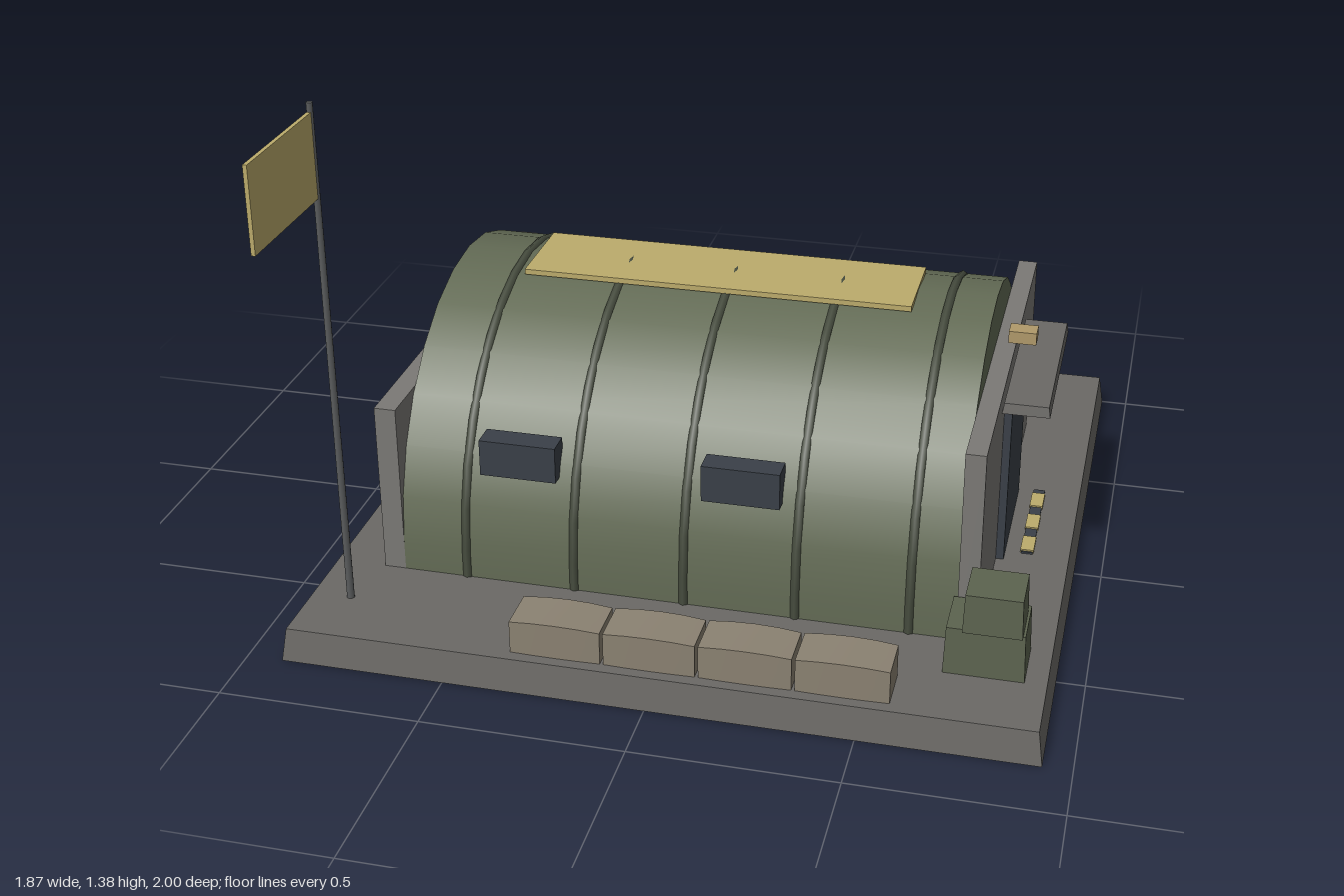
import * as THREE from 'three';
import { toCreasedNormals } from 'three/addons/utils/BufferGeometryUtils.js';

const paint = (color) => new THREE.MeshStandardMaterial({ color });
const MAT = {
  slab: paint(0x6b6966), wall: paint(0x7b7976), green: paint(0x636b55), rib: paint(0x474d3f),
  gold: paint(0xbcac6c), dark: paint(0x3a4048), pole: paint(0x5a5c5d), crate: paint(0x5c634f),
  bag: paint(0x8b8272), lamp: paint(0xb09a6a),
};
const GROUND = 0.085, MID_Z = -0.075, RADIUS = 0.575, SPRING = 0.16;

export function createModel() {
  const root = new THREE.Group();

  const add = (name, geometry, material, x = 0, y = 0, z = 0, parent = root) => {
    const mesh = new THREE.Mesh(geometry, material);
    mesh.name = name;
    mesh.position.set(x, y, z);
    parent.add(mesh);
    return mesh;
  };
  // Box given by its extents; inset narrows the top face
  const block = (name, mat, [x0, x1], [y0, y1], [z0, z1], inset = 0) => {
    const g = new THREE.BoxGeometry(x1 - x0, y1 - y0, z1 - z0);
    const p = g.attributes.position;
    for (let i = 0; inset && i < p.count; i++) {
      if (p.getY(i) < 0) continue;
      p.setX(i, p.getX(i) - Math.sign(p.getX(i)) * inset);
      p.setZ(i, p.getZ(i) - Math.sign(p.getZ(i)) * inset);
    }
    g.computeVertexNormals();
    return add(name, g, mat, (x0 + x1) / 2, (y0 + y1) / 2, (z0 + z1) / 2);
  };

  block('baseSlab', MAT.slab, [-0.91, 0.93], [0, GROUND], [-1, 0.84], 0.012);

  // Arched shelter: half circle on short upright sides
  const arch = (r, steps) => {
    const pts = [[r, GROUND]];
    for (let i = 0; i <= steps; i++) {
      const a = (i / steps) * Math.PI;
      pts.push([r * Math.cos(a), SPRING + r * Math.sin(a)]);
    }
    pts.push([-r, GROUND]);
    return pts.map(([x, y]) => new THREE.Vector2(x, y));
  };
  const vault = new THREE.ExtrudeGeometry(new THREE.Shape(arch(RADIUS, 14)), { depth: 1.4, bevelEnabled: false });
  vault.rotateY(Math.PI / 2);
  add('archedShelter', toCreasedNormals(vault, 0.5), MAT.green, -0.715, 0, MID_Z);

  // Ribs over the arch
  for (let i = 0; i < 5; i++) {
    const x = -0.55 + i * 0.28;
    const rib = new THREE.Group();
    rib.name = 'rib';
    rib.position.set(x, 0, MID_Z);
    root.add(rib);
    const hoop = new THREE.TorusGeometry(0.57, 0.0125, 6, 16, Math.PI);
    hoop.rotateY(Math.PI / 2);
    add('ribHoop', hoop, MAT.rib, 0, SPRING, 0, rib);
    for (const side of [-1, 1]) {
      add('ribFoot', new THREE.CylinderGeometry(0.0125, 0.0125, SPRING - GROUND, 6), MAT.rib,
        0, (SPRING + GROUND) / 2, side * 0.57, rib);
    }
  }
  block('roofPanel', MAT.gold, [-0.52, 0.485], [0.726, 0.74], [-0.2, 0.05]);

  // Windows, two on each long side
  for (const x of [-0.41, 0.15]) {
    for (const side of [-1, 1]) {
      const z = MID_Z + side * 0.53;
      block('window', MAT.dark, [x - 0.097, x + 0.097], [0.375, 0.47], [z - 0.032, z + 0.032]);
    }
  }

  // End walls, door, awning, lamp and threshold
  block('leftEndWall', MAT.wall, [-0.77, -0.715], [GROUND, 0.535], [-0.65, 0.5]);
  block('doorEndWall', MAT.wall, [0.685, 0.735], [GROUND, 0.59], [-0.645, 0.5]);
  block('door', MAT.dark, [0.73, 0.755], [GROUND, 0.507], [-0.255, 0.11]);
  block('awning', MAT.slab, [0.735, 0.852], [0.537, 0.564], [-0.325, 0.178], 0.004);
  block('lamp', MAT.lamp, [0.72, 0.79], [0.62, 0.652], [-0.1, -0.05]);
  block('threshold', MAT.dark, [0.795, 0.825], [GROUND, 0.09], [-0.26, 0.07]);
  for (const z of [0.03, -0.085, -0.2]) {
    block('thresholdStripe', MAT.gold, [0.793, 0.827], [GROUND, 0.094], [z - 0.035, z + 0.035]);
  }

  // Stacked crates
  block('lowerCrate', MAT.crate, [0.672, 0.865], [GROUND, 0.207], [0.5, 0.645], 0.004);
  block('upperCrate', MAT.crate, [0.715, 0.855], [0.207, 0.307], [0.523, 0.655], 0.003);

  // Sandbags: softened boxes with sagging ends
  const bagShape = new THREE.BoxGeometry(0.222, 0.09, 0.12, 4, 2, 2);
  const bp = bagShape.attributes.position;
  for (let i = 0; i < bp.count; i++) {
    const u = Math.abs(bp.getX(i)) / 0.111;
    if (bp.getY(i) > 0.04) bp.setY(i, 0.045 - 0.006 * u * u);
    bp.setZ(i, bp.getZ(i) * (1 - 0.04 * u * u));
  }
  const bagGeometry = toCreasedNormals(bagShape, 0.5);
  const bagY = GROUND + 0.045;
  for (let i = 0; i < 4; i++) add('frontSandbag', bagGeometry, MAT.bag, -0.228 + i * 0.23, bagY, 0.74);
  for (let i = 0; i < 4; i++) {
    const t = i / 3;
    const bag = add('cornerSandbag', bagGeometry, MAT.bag,
      THREE.MathUtils.lerp(-0.83, -0.78, t), bagY - 0.001 * i, THREE.MathUtils.lerp(-0.893, -0.755, t));
    bag.rotation.y = t * 0.7;
  }

  // Flagpole and flag
  add('flagpole', new THREE.CylinderGeometry(0.008, 0.01, 1.295, 8), MAT.pole, -0.8, GROUND + 0.6475, 0.657);
  block('flag', MAT.gold, [-0.805, -0.795], [1.15, 1.358], [0.66, 1]);

  return root;
}
